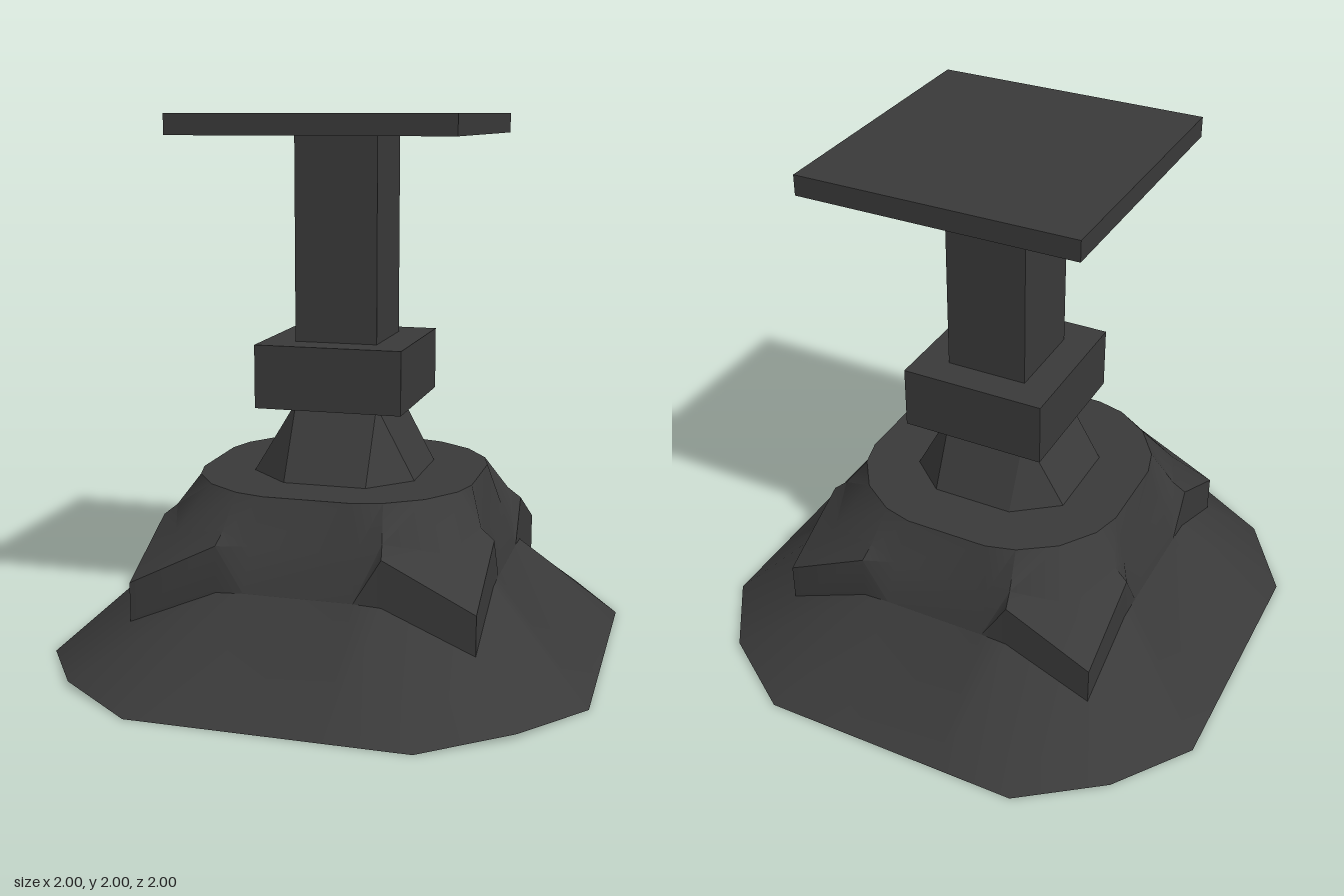
import * as THREE from 'three';
import { toCreasedNormals } from 'three/addons/utils/BufferGeometryUtils.js';

const material = new THREE.MeshStandardMaterial({ color: 0x3a3a3a });

function addMesh(group, name, geometry) {
  const mesh = new THREE.Mesh(geometry, material);
  mesh.name = name;
  group.add(mesh);
}

// Box given by its extents
function addBox(group, name, [x0, x1], [y0, y1], [z0, z1]) {
  const g = new THREE.BoxGeometry(x1 - x0, y1 - y0, z1 - z0);
  g.translate((x0 + x1) / 2, (y0 + y1) / 2, (z0 + z1) / 2);
  addMesh(group, name, g);
}

// Skin stacked rings of [x, y, z] points from bottom to top, with end caps
function loft(rings, crease) {
  const n = rings[0].length;
  const positions = rings.flat(2);
  const index = [];
  for (let r = 0; r < rings.length - 1; r++) {
    for (let i = 0; i < n; i++) {
      const a = r * n + i, b = r * n + (i + 1) % n;
      index.push(a, b, b + n, a, b + n, a + n);
    }
  }
  const top = (rings.length - 1) * n;
  const centre = rings.length * n;
  positions.push(0, rings[0][0][1], 0, 0, rings.at(-1)[0][1], 0);
  for (let i = 0; i < n; i++) {
    const j = (i + 1) % n;
    index.push(centre, j, i, centre + 1, top + i, top + j);
  }
  const g = new THREE.BufferGeometry();
  g.setAttribute('position', new THREE.Float32BufferAttribute(positions, 3));
  g.setIndex(index);
  return toCreasedNormals(g, crease);
}

// Four-fold ring: corner, peak and valley points as [along side, height, distance out]
function fourSidedRing(corner, peak, valley) {
  const flip = ([u, y, d]) => [-u, y, d];
  const side = [flip(corner), flip(peak), flip(valley), valley, peak];
  const ring = [];
  for (let k = 0; k < 4; k++) {
    for (const [u, y, d] of side) {
      ring.push([[u, y, d], [d, y, -u], [-u, y, -d], [-d, y, u]][k]);
    }
  }
  return ring;
}

export function createModel() {
  const group = new THREE.Group();

  // Mound: flared skirt, notched wall, rounded shoulder
  addMesh(group, 'moundBase', loft([
    fourSidedRing([0.8, 0.02, 0.8], [0.5, 0, 1], [0.2, 0, 1]),
    fourSidedRing([0.63, 0.2, 0.63], [0.3, 0.34, 0.63], [0.2, 0.345, 0.63]),
    fourSidedRing([0.63, 0.345, 0.63], [0.3, 0.51, 0.63], [0.2, 0.346, 0.63]),
    fourSidedRing([0.5, 0.51, 0.5], [0.29, 0.55, 0.58], [0.19, 0.5, 0.575]),
    fourSidedRing([0.4, 0.67, 0.4], [0.27, 0.67, 0.49], [0.16, 0.67, 0.52]),
  ], 0.75));

  // Sloped buttresses around the foot of the column
  const foot = [[-0.15, 0.32], [0.16, 0.32], [0.31, 0.16], [0.31, -0.18],
    [0.16, -0.31], [-0.15, -0.31], [-0.32, -0.18], [-0.32, 0.16]];
  const clampToColumn = ([x, z]) => [
    THREE.MathUtils.clamp(x, -0.15, 0.16), 0.94, THREE.MathUtils.clamp(z, -0.18, 0.16)];
  addMesh(group, 'buttresses', loft([
    foot.map(([x, z]) => [x, 0.66, z]),
    foot.map(clampToColumn),
  ], 0.2));

  // Column, collar and top plate
  addBox(group, 'column', [-0.15, 0.16], [0.66, 1.93], [-0.18, 0.16]);
  addBox(group, 'collar', [-0.27, 0.28], [0.935, 1.17], [-0.3, 0.28]);
  addBox(group, 'topPlate', [-0.51, 0.52], [1.925, 2], [-0.54, 0.51]);

  return group;
}
